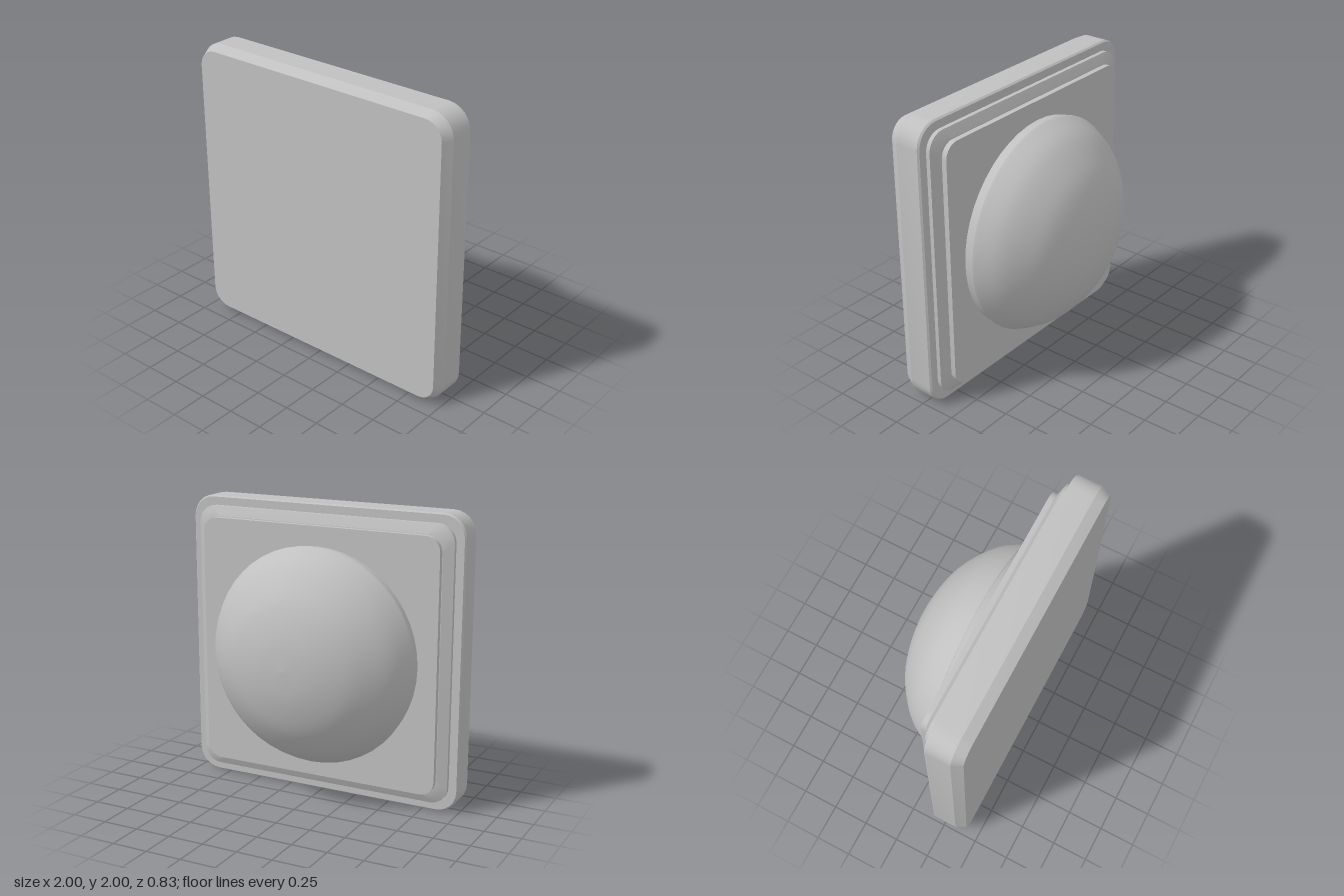
import * as THREE from 'three';
import { toCreasedNormals } from 'three/addons/utils/BufferGeometryUtils.js';

const CORNER_STEPS = 6;

// Outline of a rounded square, counter-clockwise seen from +z
function roundedSquare(half, radius, z) {
  const ring = [];
  for (let corner = 0; corner < 4; corner++) {
    const start = corner * Math.PI / 2;
    const mid = start + Math.PI / 4;
    const cx = Math.sign(Math.cos(mid)) * (half - radius);
    const cy = Math.sign(Math.sin(mid)) * (half - radius);
    for (let s = 0; s <= CORNER_STEPS; s++) {
      const a = start + (s / CORNER_STEPS) * Math.PI / 2;
      ring.push([cx + radius * Math.cos(a), cy + radius * Math.sin(a), z]);
    }
  }
  return ring;
}

// Closed solid through [half width, corner radius, z] sections, front to back
function loftSquares(sections) {
  const rings = sections.map(s => roundedSquare(...s));
  const n = rings[0].length;
  const pos = [];
  const tri = (...corners) => corners.forEach(p => pos.push(...p));
  const frontCentre = [0, 0, sections[0][2]];
  const backCentre = [0, 0, sections[sections.length - 1][2]];
  for (let j = 0; j < n; j++) {
    const k = (j + 1) % n;
    tri(frontCentre, rings[0][j], rings[0][k]);
    for (let i = 0; i < rings.length - 1; i++) {
      const a = rings[i][j], b = rings[i][k], c = rings[i + 1][j], d = rings[i + 1][k];
      tri(a, c, b);
      tri(b, c, d);
    }
    const last = rings[rings.length - 1];
    tri(backCentre, last[k], last[j]);
  }
  const geometry = new THREE.BufferGeometry();
  geometry.setAttribute('position', new THREE.Float32BufferAttribute(pos, 3));
  return toCreasedNormals(geometry, 0.42);
}

export function createModel() {
  const model = new THREE.Group();
  model.name = 'squareButton';
  const grey = new THREE.MeshStandardMaterial({ color: 0xc0c0c0 });
  grey.name = 'light grey';

  const add = (name, geometry) => {
    const mesh = new THREE.Mesh(geometry, grey);
    mesh.name = name;
    mesh.position.y = 1;
    model.add(mesh);
  };

  // Thick front plate with a bevelled front edge
  add('frontPlate', loftSquares([
    [0.965, 0.12, 0.413],
    [1.0, 0.155, 0.345],
    [1.0, 0.155, 0.18],
    [0.99, 0.145, 0.168],
  ]));

  // Stepped, sloping shoulder behind the plate
  add('shoulder', loftSquares([
    [0.935, 0.12, 0.17],
    [0.935, 0.12, 0.14],
    [0.91, 0.11, 0.128],
    [0.87, 0.1, 0.11],
  ]));

  // Flat backing plate that carries the dome
  add('backPlate', loftSquares([
    [0.865, 0.1, 0.112],
    [0.865, 0.1, 0.074],
  ]));

  // Short neck under the dome
  const neck = new THREE.CylinderGeometry(0.735, 0.732, 0.06, 48, 1, true);
  neck.rotateX(-Math.PI / 2);
  neck.translate(0, 0, 0.045);
  add('domeNeck', neck);

  // Shallow dome, turned so that it bulges to the back
  const curve = new THREE.SplineCurve([
    [0.741, -0.016], [0.735, 0.01], [0.66, 0.14], [0.54, 0.25],
    [0.4, 0.335], [0.2, 0.395], [0, 0.413],
  ].map(p => new THREE.Vector2(...p)));
  const profile = curve.getPoints(24);
  profile[profile.length - 1].x = 0;
  const dome = new THREE.LatheGeometry(profile, 48);
  dome.rotateX(-Math.PI / 2);
  add('dome', dome);

  return model;
}
